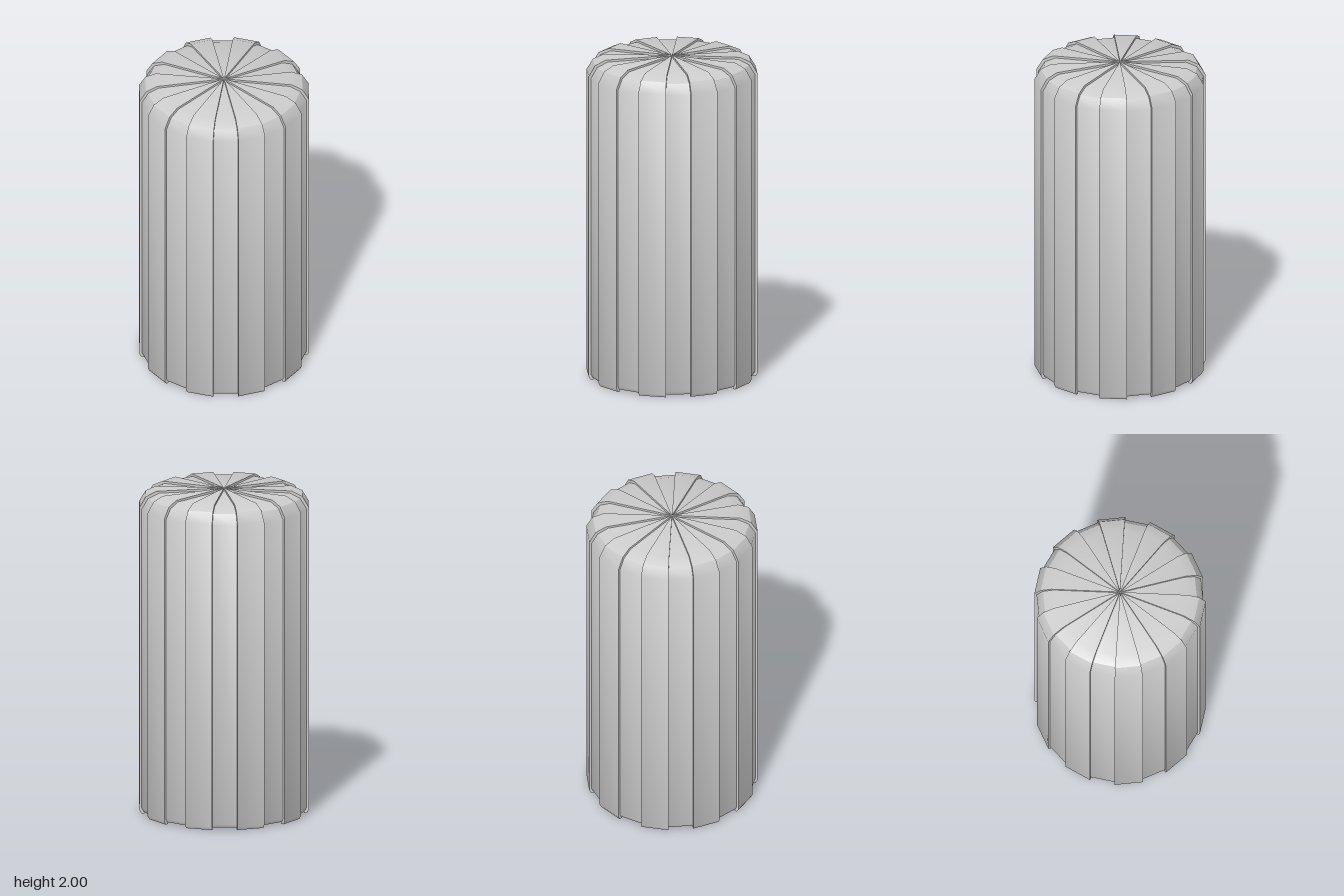
import * as THREE from 'three';
import { toCreasedNormals } from 'three/addons/utils/BufferGeometryUtils.js';

const SIDES = 20;
const STEP = (Math.PI * 2) / SIDES;
const material = new THREE.MeshStandardMaterial({ color: 0xcccccc });
const thinMaterial = new THREE.MeshStandardMaterial({ color: 0xcccccc, side: THREE.DoubleSide });

// Bevelled foot, straight wall, rounded shoulder and top of one slat
function slatProfile(offset) {
  return [
    [0.487, 0.013 - offset], [0.492 + offset, 0.013 - offset], [0.504 + offset, 0.034 - offset],
    [0.504 + offset, 1.89 + offset * 0.8], [0.465 + offset, 1.953 + offset],
    [0.4 + offset, 1.984 + offset], [0, 1.987 + offset],
  ].map(([r, y]) => new THREE.Vector2(r, y));
}

// One flat-faced wedge of the shell
function wedge(profile, start, length) {
  const geometry = new THREE.LatheGeometry(profile, 1, start, length);
  return new THREE.Mesh(toCreasedNormals(geometry, THREE.MathUtils.degToRad(32)), material);
}

// Step wall closing the side of a raised slat
function stepWall(outer, angle) {
  const inner = [[0, 1.96], [0.487, 1.86]].map(([x, y]) => new THREE.Vector2(x, y));
  const geometry = new THREE.ShapeGeometry(new THREE.Shape([...outer, ...inner]));
  geometry.rotateY(angle - Math.PI / 2);
  return new THREE.Mesh(geometry, thinMaterial);
}

export function createModel() {
  const model = new THREE.Group();
  model.name = 'slattedCap';
  const low = slatProfile(0);
  const raised = slatProfile(0.013);
  const overlap = 0.008;

  // Alternating raised and recessed slats, each running up and over to the centre
  for (let i = 0; i < SIDES; i++) {
    const start = i * STEP;
    const slat = new THREE.Group();
    if (i % 2 === 0) {
      slat.name = 'raisedSlat';
      slat.add(wedge(raised, start - overlap, STEP + overlap * 2));
      slat.add(stepWall(raised, start - overlap), stepWall(raised, start + STEP + overlap));
    } else {
      slat.name = 'recessedSlat';
      slat.add(wedge(low, start, STEP));
    }
    model.add(slat);
  }

  // Smooth hollow interior, open at the bottom
  const liningProfile = [[0, 1.96], [0.4, 1.955], [0.455, 1.93], [0.487, 1.86], [0.487, 0]]
    .map(([r, y]) => new THREE.Vector2(r, y));
  const lining = new THREE.Mesh(new THREE.LatheGeometry(liningProfile, SIDES), material);
  lining.name = 'lining';
  model.add(lining);

  return model;
}
